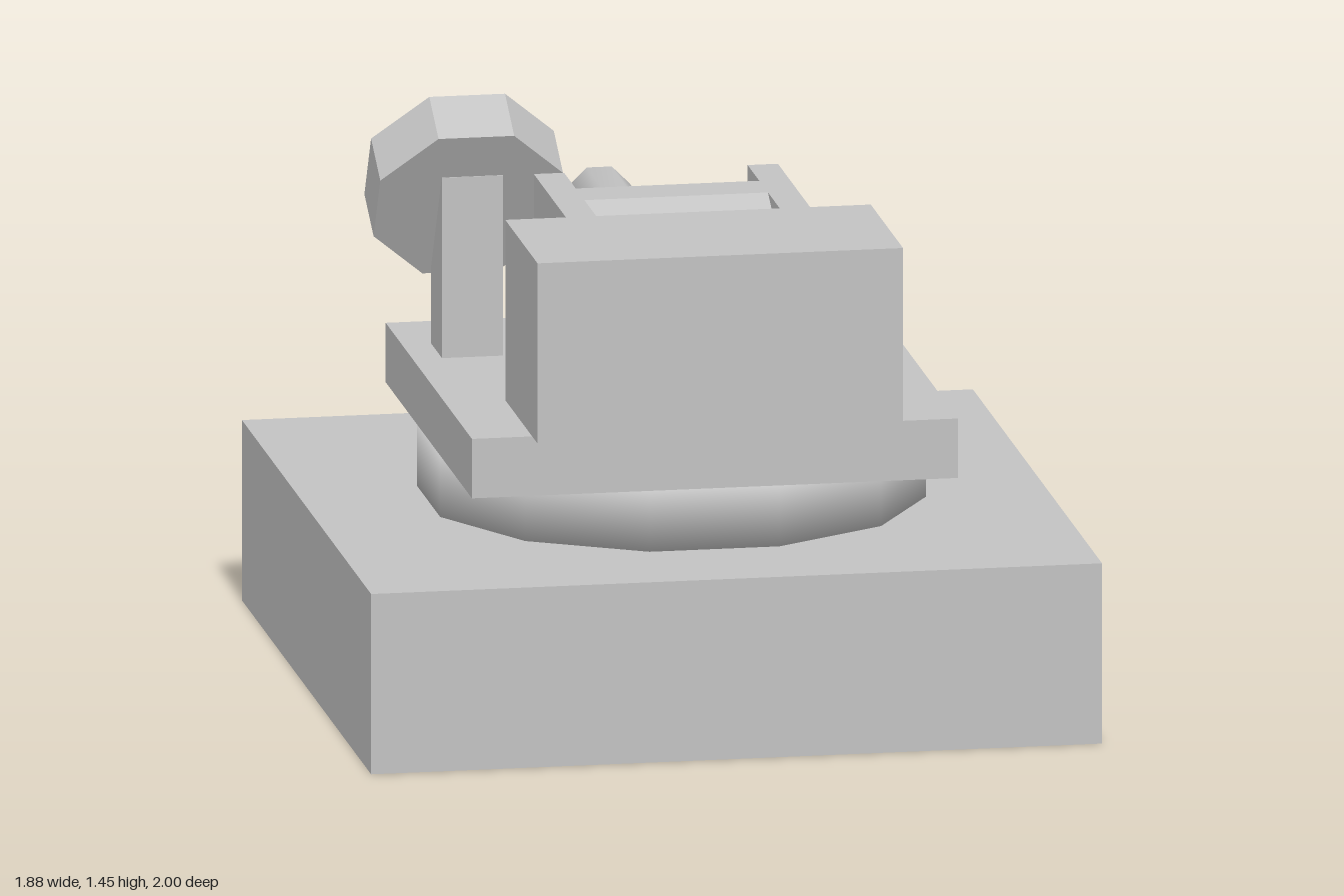
import * as THREE from 'three';
import { mergeVertices } from 'three/addons/utils/BufferGeometryUtils.js';

export function createModel() {
  const model = new THREE.Group();
  model.name = 'turret';
  const grey = new THREE.MeshStandardMaterial({ color: 0xc2c2c2 });
  grey.name = 'grey';

  function add(name, geometry) {
    const mesh = new THREE.Mesh(geometry, grey);
    mesh.name = name;
    model.add(mesh);
    return mesh;
  }

  // Box given by its lower and upper limits on each axis
  function box(name, x0, x1, y0, y1, z0, z1) {
    add(name, new THREE.BoxGeometry(x1 - x0, y1 - y0, z1 - z0))
      .position.set((x0 + x1) / 2, (y0 + y1) / 2, (z0 + z1) / 2);
  }

  // Prism along y with flats (not corners) facing the axes
  function prism(apothem, height, sides) {
    const r = apothem / Math.cos(Math.PI / sides);
    return new THREE.CylinderGeometry(r, r, height, sides).rotateY(Math.PI / sides);
  }
  const faceted = (g) => {
    const flat = g.toNonIndexed();
    flat.computeVertexNormals();
    return flat;
  };
  // Shared normals across caps and sides
  const smooth = (g) => {
    g.deleteAttribute('normal');
    g.deleteAttribute('uv');
    const merged = mergeVertices(g, 1e-4);
    merged.computeVertexNormals();
    return merged;
  };

  // Stand
  box('base', -0.94, 0.94, 0, 0.47, -0.88, 1);
  add('turntableRing', smooth(prism(0.625, 0.16, 12))).position.set(0, 0.55, 0.055);
  box('platform', -0.625, 0.625, 0.63, 0.785, -0.57, 0.685);

  // Housing
  box('frontHousing', -0.47, 0.47, 0.785, 1.255, 0.293, 0.763);
  for (const s of [-1, 1]) {
    box(s < 0 ? 'rightCheek' : 'leftCheek', s * 0.275 - 0.039, s * 0.275 + 0.039, 0.785, 1.255, -0.175, 0.293);
  }
  box('sideLedge', 0.314, 0.47, 0.785, 0.942, -0.175, 0.293);

  // Trunnion drum and barrel pointing backwards
  add('drum', faceted(prism(0.235, 0.474, 12).rotateZ(Math.PI / 2))).position.set(0, 1.02, 0.058);
  add('barrel', smooth(prism(0.078, 0.94, 8).rotateX(Math.PI / 2))).position.set(0, 0.983, -0.53);

  // Tilted dish on a post
  box('dishPost', -0.55, -0.393, 0.785, 1.255, -0.333, -0.175);
  const dish = add('dish', faceted(prism(0.235, 0.155, 8)));
  dish.position.set(-0.473, 1.208, -0.295);
  dish.rotation.x = -Math.PI / 3;

  return model;
}
